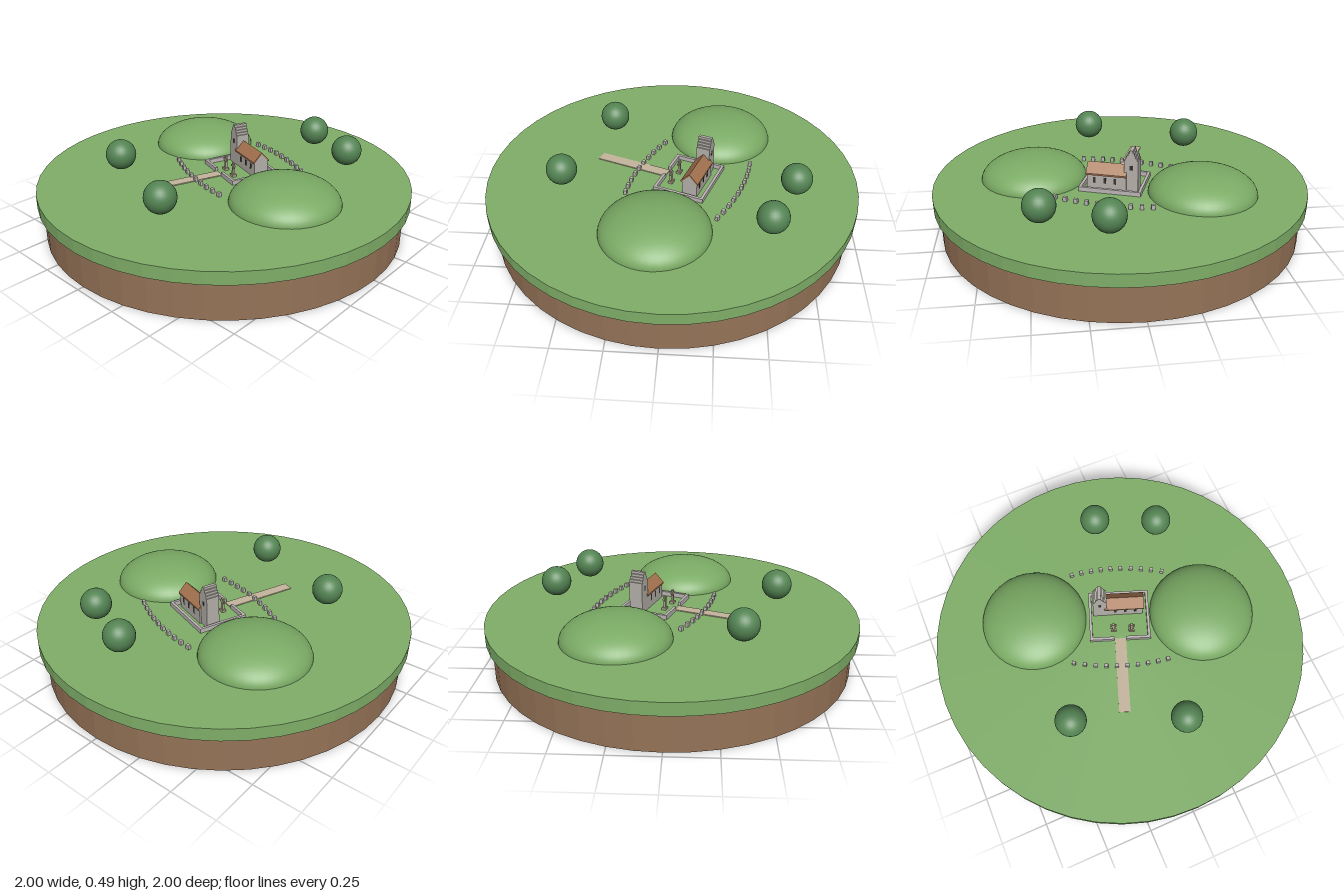
import * as THREE from 'three';

const mat = (name, color, extra = {}) => {
  const m = new THREE.MeshStandardMaterial({ color, ...extra });
  m.name = name;
  return m;
};

export function createModel() {
  const M = {
    grass: mat('grass green', 0x7fae68, { flatShading: true }),
    earth: mat('earth brown', 0x957357, { flatShading: true }),
    hill: mat('hill green', 0x7aaa64),
    tree: mat('tree green', 0x548453),
    stone: mat('church stone', 0xb5b0aa),
    wall: mat('wall stone', 0xbdb5b5),
    roof: mat('roof brown', 0xa4734f),
    path: mat('path sand', 0xc4b49c),
    cross: mat('cross stone', 0xb0a48e),
    dark: mat('window dark', 0x3a3430),
  };
  const G = 0.267; // ground level
  const root = new THREE.Group();
  root.name = 'island';

  const add = (parent, name, geo, material, x, y, z) => {
    const m = new THREE.Mesh(geo, material);
    m.name = name;
    m.position.set(x, y, z);
    parent.add(m);
    return m;
  };
  // box standing on height y
  const box = (parent, name, material, w, h, d, x, y, z) =>
    add(parent, name, new THREE.BoxGeometry(w, h, d), material, x, y + h / 2, z);

  // round base
  add(root, 'earthBase', new THREE.CylinderGeometry(0.97, 0.97, 0.2, 48), M.earth, 0, 0.1, 0);
  add(root, 'grassDisc', new THREE.CylinderGeometry(1, 1, G - 0.2, 48), M.grass, 0, (G + 0.2) / 2, 0);

  // domed hills
  for (const [x, z] of [[-0.4, -0.26], [0.465, 0.055]]) {
    const dome = new THREE.SphereGeometry(0.285, 40, 16, 0, Math.PI * 2, 0, Math.PI / 2);
    add(root, 'hill', dome, M.hill, x, G - 0.003, z).scale.y = 0.46;
  }

  // round trees
  for (const [x, z] of [[0.128, -0.658], [0.444, -0.519], [-0.428, 0.364], [0.123, 0.578]]) {
    add(root, 'tree', new THREE.SphereGeometry(0.082, 28, 18), M.tree, x, 0.367, z);
  }

  // curved rows of standing stones
  const rows = [
    [[-0.112, -0.428], [0.136, -0.398], [0.364, -0.251]],
    [[-0.294, 0.059], [-0.066, 0.201], [0.182, 0.235]],
  ];
  for (const row of rows) {
    const curve = new THREE.QuadraticBezierCurve(...row.map((p) => new THREE.Vector2(...p)));
    for (let i = 0; i < 10; i++) {
      const p = curve.getPoint(i / 9), t = curve.getTangent(i / 9);
      box(root, 'rowStone', M.wall, 0.02, 0.024, 0.017, p.x, G, p.y).rotation.y = -Math.atan2(t.y, t.x);
    }
  }

  // churchyard, turned on the island
  const yard = new THREE.Group();
  yard.name = 'churchyard';
  yard.position.set(0.037, G, -0.097);
  yard.rotation.y = -0.349;
  root.add(yard);

  // enclosing wall with a gate gap at the front
  const W = 0.33, D = 0.28, T = 0.015, H = 0.024, gap = 0.066;
  box(yard, 'backWall', M.wall, W, H, T, 0, 0, -D / 2 + T / 2);
  for (const s of [-1, 1]) {
    box(yard, 'sideWall', M.wall, T, H, D - 2 * T, s * (W - T) / 2, 0, 0);
    box(yard, 'frontWall', M.wall, (W - gap) / 2, H, T, s * (W + gap) / 4, 0, D / 2 - T / 2);
  }

  // path to the gate
  box(yard, 'path', M.path, 0.06, 0.005, 0.41, 0, 0, 0.335);

  // nave with a pitched roof
  const CZ = -0.053, x0 = -0.08, x1 = 0.13, eave = 0.085, ridge = 0.13;
  const nave = new THREE.Shape();
  nave.moveTo(-0.041, 0).lineTo(0.041, 0).lineTo(0.041, eave);
  nave.lineTo(0, ridge).lineTo(-0.041, eave).closePath();
  const naveGeo = new THREE.ExtrudeGeometry(nave, { depth: x1 - x0, bevelEnabled: false });
  add(yard, 'nave', naveGeo, M.stone, x0, 0, CZ).rotation.y = Math.PI / 2;
  const roof = new THREE.Shape();
  roof.moveTo(-0.048, eave - 0.006).lineTo(-0.041, eave - 0.002).lineTo(0, ridge - 0.002);
  roof.lineTo(0.041, eave - 0.002).lineTo(0.048, eave - 0.006).lineTo(0.048, eave + 0.003);
  roof.lineTo(0, ridge + 0.008).lineTo(-0.048, eave + 0.003).closePath();
  const roofGeo = new THREE.ExtrudeGeometry(roof, { depth: x1 - x0 + 0.005, bevelEnabled: false });
  add(yard, 'naveRoof', roofGeo, M.roof, x0, 0, CZ).rotation.y = Math.PI / 2;

  // tower with stepped gable top
  const TX = -0.103, TZ = -0.048, S = 0.074;
  box(yard, 'tower', M.stone, S, 0.172, S, TX, 0, TZ);
  for (let i = 0; i < 4; i++) {
    box(yard, 'towerStep', M.stone, S * (0.84 - 0.2 * i), 0.0135, S, TX, 0.172 + i * 0.0135, TZ);
  }

  // windows as thin plates
  for (const s of [-1, 1]) {
    for (const x of [-0.02, 0.035, 0.09]) {
      box(yard, 'naveWindow', M.dark, 0.013, 0.032, 0.003, x, 0.035, CZ + s * 0.0415);
    }
    box(yard, 'towerWindow', M.dark, 0.013, 0.024, 0.003, TX, 0.12, TZ + s * S / 2);
  }

  // carved crosses in front of the church
  for (const [x, z] of [[-0.035, 0.075], [0.063, 0.08]]) {
    const c = new THREE.Group();
    c.name = 'stoneCross';
    c.position.set(x, 0, z);
    yard.add(c);
    box(c, 'crossBase', M.cross, 0.03, 0.014, 0.024, 0, 0, 0);
    box(c, 'crossShaft', M.cross, 0.014, 0.066, 0.012, 0, 0.013, 0);
    box(c, 'crossArms', M.cross, 0.034, 0.01, 0.01, 0, 0.056, 0);
    add(c, 'crossRing', new THREE.TorusGeometry(0.012, 0.003, 6, 16), M.cross, 0, 0.061, 0);
  }
  return root;
}
